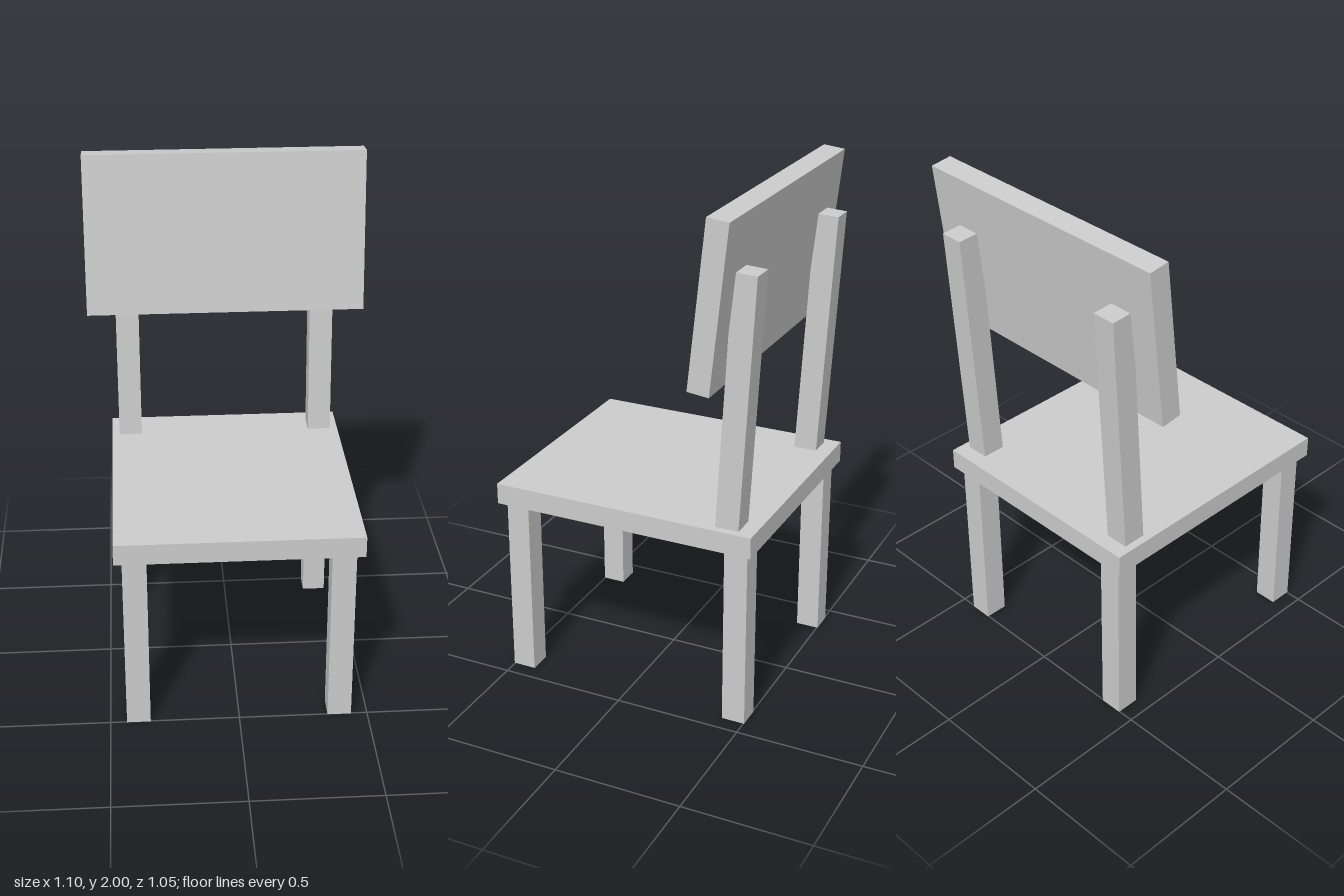
import * as THREE from 'three';

const material = new THREE.MeshStandardMaterial({ color: 0xcccccc, flatShading: true });

// Box of a given size, centred at a position and tilted about the x axis
function addBox(parent, name, size, position, tilt = 0) {
  const mesh = new THREE.Mesh(new THREE.BoxGeometry(...size), material);
  mesh.name = name;
  mesh.position.set(...position);
  mesh.rotation.x = tilt;
  parent.add(mesh);
}

export function createModel() {
  const chair = new THREE.Group();
  chair.name = 'chair';

  // Seat slab
  addBox(chair, 'seat', [0.935, 0.083, 1.054], [0, 0.768, 0]);

  for (const [side, x] of [['left', 0.391], ['right', -0.391]]) {
    // Straight square legs, ending just inside the seat
    addBox(chair, `${side}FrontLeg`, [0.092, 0.74, 0.092], [x, 0.37, 0.457]);
    addBox(chair, `${side}BackLeg`, [0.092, 0.74, 0.092], [x, 0.37, -0.457]);

    // Post leaning back from the seat
    addBox(chair, `${side}BackPost`, [0.092, 1.015, 0.092], [x, 1.277, -0.446], -0.056);
  }

  // Backrest panel, leaning a little more than the posts
  addBox(chair, 'backrest', [1.097, 0.635, 0.085], [0, 1.68, -0.386], -0.108);

  return chair;
}
